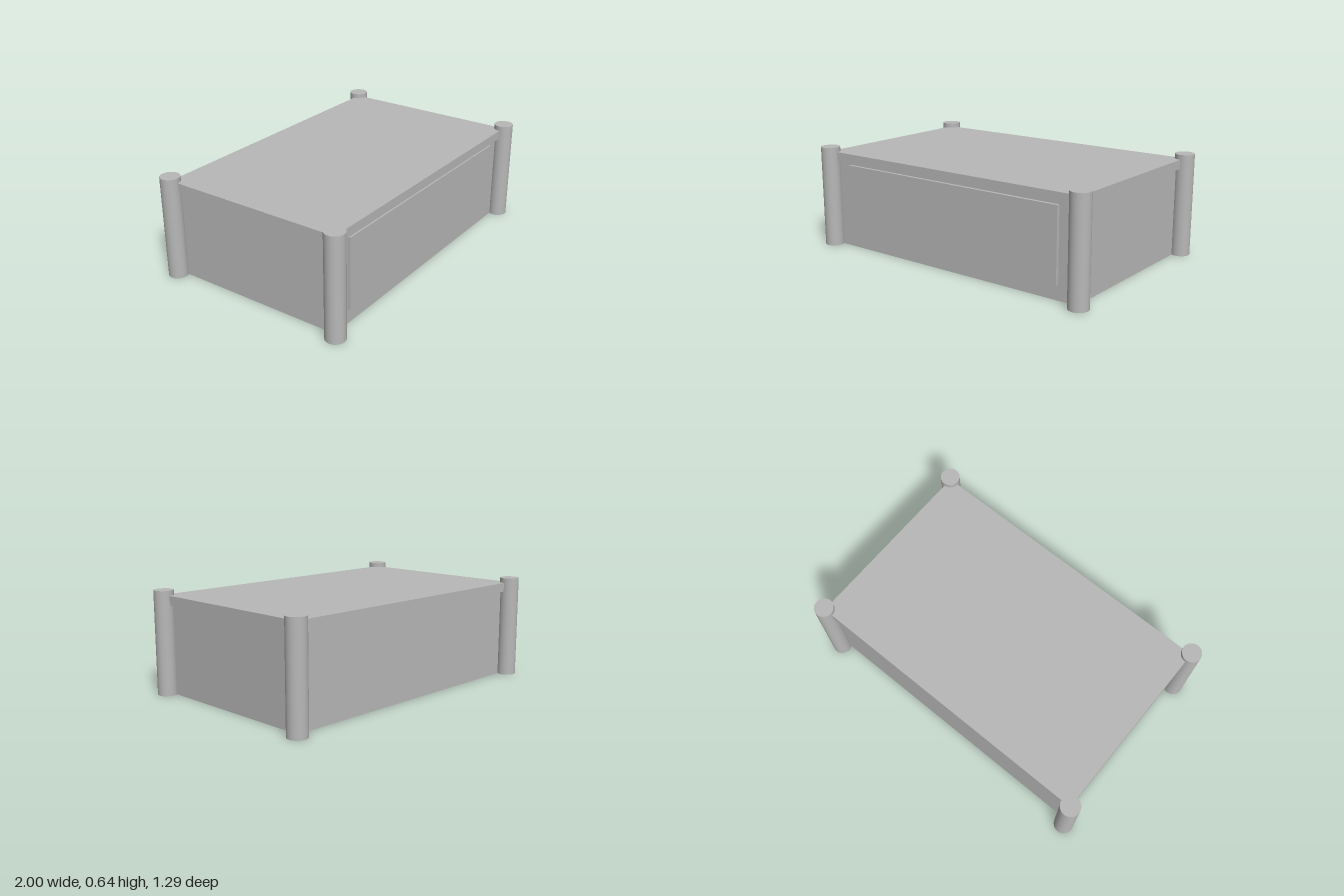
import * as THREE from 'three';

export function createModel() {
  const group = new THREE.Group();
  const grey = new THREE.MeshStandardMaterial({ color: 0xb8b8b8, side: THREE.DoubleSide });
  grey.name = 'plain grey';

  const add = (name, geometry, x, y, z) => {
    const mesh = new THREE.Mesh(geometry, grey);
    mesh.name = name;
    mesh.position.set(x, y, z);
    group.add(mesh);
    return mesh;
  };

  const postX = 0.94, postZ = 0.584, postR = 0.06, postH = 0.64;
  const slabBottom = 0.553, slabTop = 0.61;
  const wallX = postX - 0.03, wallZ = postZ - 0.03;

  // Top slab, its corners on the post centres
  add('tableTop', new THREE.BoxGeometry(postX * 2, slabTop - slabBottom, postZ * 2),
    0, (slabBottom + slabTop) / 2, 0);

  // Thin walls set back under the slab, open at the bottom
  for (const s of [1, -1]) {
    const long = add(s > 0 ? 'frontWall' : 'backWall',
      new THREE.PlaneGeometry(wallX * 2, slabBottom), 0, slabBottom / 2, s * wallZ);
    long.rotation.y = s > 0 ? 0 : Math.PI;
    const end = add(s > 0 ? 'leftWall' : 'rightWall',
      new THREE.PlaneGeometry(wallZ * 2, slabBottom), s * wallX, slabBottom / 2, 0);
    end.rotation.y = s * Math.PI / 2;
  }

  // Raised drawer front
  add('drawerFront', new THREE.BoxGeometry(1.58, 0.445, 0.02), 0, 0.3125, wallZ + 0.01);

  // Hollow round posts with flat caps
  const tube = new THREE.CylinderGeometry(postR, postR, postH, 40, 1, true);
  const cap = new THREE.CircleGeometry(postR, 40).rotateX(-Math.PI / 2);
  for (const x of [-postX, postX]) {
    for (const z of [-postZ, postZ]) {
      add('cornerPost', tube, x, postH / 2, z);
      add('postCap', cap, x, postH, z);
    }
  }
  return group;
}
